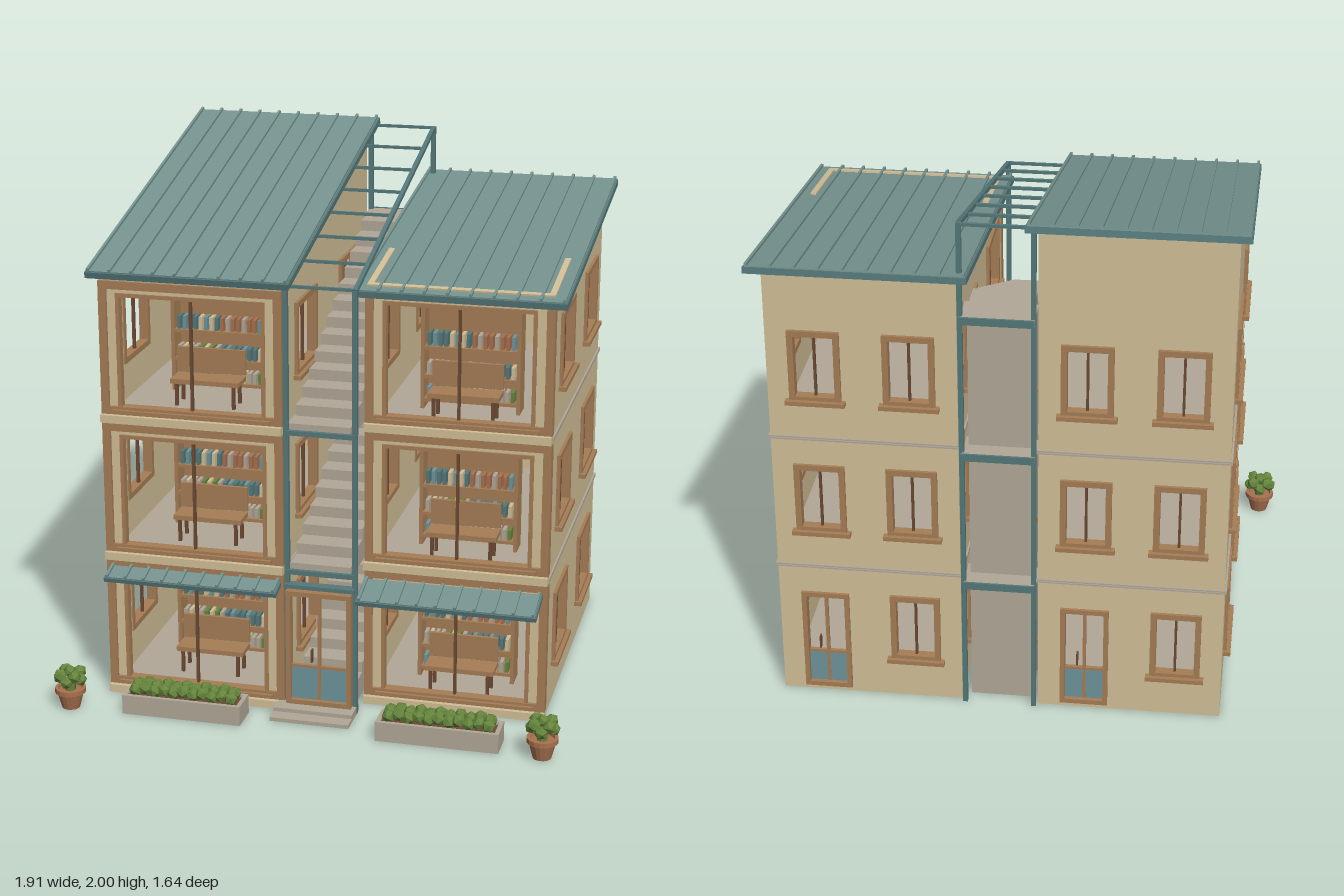
import * as THREE from 'three';

const mat = (name, color) => Object.assign(new THREE.MeshStandardMaterial({ color }), { name });
const M = {
  wall: mat('sand plaster', 0xd2bf98),
  wood: mat('warm wood', 0xa67d56),
  darkWood: mat('dark wood', 0x6b4a33),
  roof: mat('teal metal', 0x75938f),
  steel: mat('dark teal steel', 0x55787a),
  concrete: mat('concrete', 0xb3a899),
  panel: mat('blue panel', 0x6f959b),
  leaf: mat('leaf green', 0x66853d),
  clay: mat('terracotta', 0xa8714f),
};
const FLOORS = [0, 0.54, 1.08];
const BACK = -0.76, T = 0.02;

function add(parent, name, geo, material, x = 0, y = 0, z = 0) {
  const m = new THREE.Mesh(geo, material);
  m.name = name;
  m.position.set(x, y, z);
  parent.add(m);
  return m;
}
// box given by its centre
const box = (p, name, material, w, h, d, x, y, z) =>
  add(p, name, new THREE.BoxGeometry(w, h, d), material, x, y, z);
// box given by its limits
const span = (p, name, material, x0, x1, y0, y1, z0, z1) =>
  box(p, name, material, x1 - x0, y1 - y0, z1 - z0, (x0 + x1) / 2, (y0 + y1) / 2, (z0 + z1) / 2);

function group(parent, name, x = 0, y = 0, z = 0) {
  const g = new THREE.Group();
  g.name = name;
  g.position.set(x, y, z);
  parent.add(g);
  return g;
}

// flat wall with rectangular openings [x0, x1, y0, y1]
function wallGeometry(points, holes) {
  const s = new THREE.Shape(points.map(p => new THREE.Vector2(...p)));
  for (const [a, b, c, d] of holes) {
    s.holes.push(new THREE.Path([[a, c], [a, d], [b, d], [b, c]].map(p => new THREE.Vector2(...p))));
  }
  return new THREE.ExtrudeGeometry(s, { depth: T, bevelEnabled: false });
}

// rectangular border of four bars, lying in the local xy plane
function border(p, name, material, x0, x1, y0, y1, t, z0, z1) {
  span(p, name, material, x0, x0 + t, y0, y1, z0, z1);
  span(p, name, material, x1 - t, x1, y0, y1, z0, z1);
  span(p, name, material, x0 + t, x1 - t, y0, y0 + t, z0, z1);
  span(p, name, material, x0 + t, x1 - t, y1 - t, y1, z0, z1);
}

// window facing local +z, origin at the bottom centre of the opening
function makeWindow(parent, w, h, x, y, z, turn) {
  const g = group(parent, 'window', x, y, z);
  g.rotation.y = turn;
  border(g, 'windowFrame', M.wood, -w / 2 - 0.018, w / 2 + 0.018, -0.018, h + 0.018, 0.022, -0.025, 0.012);
  box(g, 'windowMullion', M.darkWood, 0.009, h, 0.012, 0, h / 2, -0.01);
  box(g, 'windowSill', M.wood, w + 0.065, 0.016, 0.04, 0, -0.018, 0.008);
}

// glazed door with a painted lower panel, facing local +z
function makeDoor(parent, w, h, x, y, z, turn) {
  const g = group(parent, 'door', x, y, z);
  g.rotation.y = turn;
  border(g, 'doorFrame', M.wood, -w / 2 - 0.014, w / 2 + 0.014, 0, h + 0.012, 0.018, -0.025, 0.012);
  box(g, 'doorPanel', M.panel, w, 0.13, 0.01, 0, 0.08, -0.01);
  box(g, 'doorStile', M.wood, 0.012, h, 0.014, 0, h / 2, -0.01);
  box(g, 'doorRail', M.wood, w, 0.01, 0.014, 0, 0.15, -0.01);
  box(g, 'doorHandle', M.darkWood, 0.006, 0.05, 0.02, -0.025, 0.2, 0.004);
}

// sloping seamed metal sheet, lower at the front
function metalRoof(parent, name, x0, x1, z0, z1, yBack, yFront, seams, t) {
  const dz = z1 - z0, dy = yBack - yFront, L = Math.hypot(dz, dy), w = x1 - x0;
  const g = group(parent, name, (x0 + x1) / 2, (yBack + yFront) / 2, (z0 + z1) / 2);
  g.rotation.x = Math.atan2(dy, dz);
  box(g, 'roofSheet', M.roof, w - 0.01, t, L - 0.01, 0, 0, 0);
  for (let i = 0; i <= seams; i++) {
    box(g, 'roofSeam', M.roof, 0.01, 0.014, L - 0.006, -w / 2 + 0.012 + (w - 0.024) * i / seams, t / 2 + 0.003, 0);
  }
  for (const s of [-1, 1]) {
    box(g, 'roofFascia', M.steel, w, t * 0.9, 0.012, 0, -0.003, s * (L / 2 - 0.006));
    box(g, 'roofVerge', M.steel, 0.012, t * 0.9, L, s * (w / 2 - 0.006), -0.003, 0);
  }
  return g;
}

// bookcase and bench of one room
function furnish(parent, cx, b, zf) {
  const g = group(parent, 'furniture', cx, b, 0);
  span(g, 'bookcaseBack', M.wood, -0.18, 0.18, 0.03, 0.43, 0.13, 0.14);
  for (const s of [-1, 1]) box(g, 'bookcaseSide', M.wood, 0.014, 0.41, 0.09, s * 0.18, 0.225, 0.175);
  const bookMats = [M.panel, M.wall, M.leaf, M.clay, M.steel, M.concrete];
  [0.06, 0.15, 0.26, 0.425].forEach((y, r) => {
    box(g, 'shelf', M.wood, 0.36, 0.012, 0.09, 0, y, 0.175);
    if (r === 3) return;
    for (let i = 0; i < 16; i++) {
      const k = (i * 7 + r * 5 + (i * i) % 11) % 6, h = 0.04 + 0.005 * ((i * 5 + r) % 5);
      box(g, 'book', bookMats[k], 0.013, h, 0.05, -0.158 + i * 0.021, y + 0.006 + h / 2, 0.185);
    }
  });
  const z = Math.min(zf - 0.13, 0.36);
  box(g, 'benchBack', M.wood, 0.265, 0.095, 0.014, 0, 0.18, z - 0.05);
  box(g, 'benchSeat', M.wood, 0.265, 0.018, 0.1, 0, 0.12, z);
  for (const x of [-0.11, 0.11]) for (const d of [-0.04, 0.04]) {
    box(g, 'benchLeg', M.darkWood, 0.012, 0.1, 0.012, x, 0.065, z + d);
  }
}

// one three-storey block between x0 and x1, with its front at zf
function makeBlock(root, name, x0, x1, zf, roof) {
  const g = group(root, name), cx = (x0 + x1) / 2;
  const [rx0, rx1, rz, yb, yf, seams] = roof;
  const slope = (yb - yf) / (rz + 0.82);
  const top = z => yf + slope * (rz - z) - 0.008;

  // side walls with two windows on each storey
  const mid = (zf + BACK) / 2, q = (zf - BACK) / 4, hw = 0.13;
  const holes = FLOORS.flatMap(b => [mid - q, mid + q].map(z => [z - hw, z + hw, b + 0.18, b + 0.425]));
  const sideGeo = wallGeometry([[BACK, 0], [zf, 0], [zf, top(zf)], [BACK, top(BACK)]], holes);
  sideGeo.rotateY(-Math.PI / 2);
  add(g, 'sideWall', sideGeo, M.wall, x0 + T);
  add(g, 'sideWall', sideGeo, M.wall, x1);
  for (const b of FLOORS) for (const z of [mid - q, mid + q]) {
    makeWindow(g, 2 * hw, 0.245, x1, b + 0.18, z, Math.PI / 2);
    makeWindow(g, 2 * hw, 0.245, x0, b + 0.18, z, -Math.PI / 2);
  }

  // back wall: windows above, a door and a window on the ground floor
  const backHoles = FLOORS.flatMap(b => [-0.168, 0.168].map(d =>
    b === 0 && d > 0 ? [cx + d - 0.075, cx + d + 0.075, 0.02, 0.425]
      : [cx + d - 0.075, cx + d + 0.075, b + 0.18, b + 0.425]));
  add(g, 'backWall', wallGeometry([[x0 + T, 0], [x1 - T, 0], [x1 - T, top(BACK)], [x0 + T, top(BACK)]], backHoles), M.wall, 0, 0, BACK);
  for (const [a, c, y0, y1] of backHoles) {
    (y0 < 0.1 ? makeDoor : makeWindow)(g, c - a, y1 - y0, (a + c) / 2, y0, BACK, Math.PI);
  }

  // open front with timber framing
  const frontHoles = FLOORS.map(b => [x0 + 0.065, x1 - 0.065, b + 0.045, b + 0.485]);
  add(g, 'frontWall', wallGeometry([[x0 + T, 0], [x1 - T, 0], [x1 - T, top(zf)], [x0 + T, top(zf)]], frontHoles), M.wall, 0, 0, zf - T);
  for (const b of FLOORS) {
    border(g, 'storeyFrame', M.wood, x0 - 0.004, x1 + 0.004, b + 0.03, b + 0.535, 0.03, zf - 0.03, zf + 0.012);
    border(g, 'openingFrame', M.wood, x0 + 0.06, x1 - 0.06, b + 0.04, b + 0.49, 0.014, zf - 0.025, zf + 0.008);
    box(g, 'frontMullion', M.darkWood, 0.01, 0.44, 0.014, cx, b + 0.265, zf - 0.01);
    span(g, 'frontSill', M.wood, x0 + 0.04, x1 - 0.04, b + 0.036, b + 0.05, zf, zf + 0.025);
    span(g, 'floorLedge', M.wall, x0 - 0.004, x1 + 0.004, b, b + 0.03, zf - 0.02, zf + 0.03);
    span(g, 'floorSlab', M.concrete, x0 + 0.01, x1 - 0.01, b, b + 0.025, BACK + 0.01, zf - 0.01);
    if (b) border(g, 'floorBand', M.concrete, x0 - 0.007, x1 + 0.007, b + 0.004, b + 0.018, 0.006, BACK - 0.007, BACK);
    if (b) for (const x of [x0 - 0.0035, x1 + 0.0035]) box(g, 'floorBand', M.concrete, 0.007, 0.014, zf - BACK, x, b + 0.011, (zf + BACK) / 2);
    furnish(g, cx, b, zf);
  }
  metalRoof(g, 'mainRoof', rx0, rx1, -0.82, rz, yb, yf, seams, 0.026);

  // entrance canopy
  metalRoof(g, 'canopy', x0 + 0.01, x1 - 0.005, 0.51, 0.655, 0.52, 0.485, 9, 0.018);
  for (const x of [x0 + 0.05, x1 - 0.05]) span(g, 'canopyBracket', M.steel, x - 0.006, x + 0.006, 0.475, 0.49, zf, 0.63);
  return top;
}

// stepped concrete flight climbing towards the back
function stairGeometry(width) {
  const n = 13, rise = 0.54 / n, run = 0.093, z0 = 0.56, pts = [[z0, 0]];
  for (let i = 0; i < n; i++) {
    pts.push([z0 - i * run, (i + 1) * rise]);
    pts.push([i === n - 1 ? -0.72 : z0 - (i + 1) * run, (i + 1) * rise]);
  }
  pts.push([-0.72, 0]);
  const s = new THREE.Shape(pts.map(p => new THREE.Vector2(...p)));
  return new THREE.ExtrudeGeometry(s, { depth: width, bevelEnabled: false }).rotateY(-Math.PI / 2);
}

function makeStairwell(root) {
  const g = group(root, 'stairwell'), xa = -0.105, xb = 0.152;
  const flight = stairGeometry(0.23);
  for (const b of FLOORS) {
    add(g, 'stairFlight', flight, M.concrete, 0.135, b, 0);
    span(g, 'landing', M.concrete, -0.11, 0.15, b + 0.515, b + 0.54, -0.79, -0.66);
    span(g, 'landingEdge', M.steel, -0.11, 0.155, b + 0.515, b + 0.543, -0.798, -0.79);
    if (b) span(g, 'frontEdge', M.steel, -0.11, 0.155, b, b + 0.018, 0.55, 0.575);
  }
  makeDoor(g, 0.22, 0.44, 0.02, 0.03, 0.585, 0);
  span(g, 'doorLintel', M.steel, -0.11, 0.155, 0.49, 0.505, 0.55, 0.59);
  // posts, sloping rails and rungs above the stairs
  for (const x of [xa, xb]) {
    span(g, 'frontPost', M.steel, x - 0.009, x + 0.009, 0, 1.63, 0.55, 0.57);
    span(g, 'backPost', M.steel, x - 0.009, x + 0.009, 0, 1.97, -0.78, -0.762);
    const rail = box(g, 'slopingRail', M.steel, 0.016, 0.016, 1.375, x, 1.797, -0.105);
    rail.rotation.x = Math.atan2(0.335, 1.33);
  }
  for (let i = 0; i < 8; i++) {
    box(g, 'rung', M.steel, xb - xa, 0.011, 0.011, (xa + xb) / 2, 1.632 + i * 0.0475, 0.555 - i * 0.19);
  }
  // entrance steps
  span(g, 'entranceStep', M.concrete, -0.14, 0.16, 0, 0.03, 0.53, 0.645);
  span(g, 'entranceStep', M.concrete, -0.14, 0.16, 0, 0.015, 0.645, 0.7);
}

function makePlanting(root) {
  const leafGeo = new THREE.IcosahedronGeometry(0.026, 0);
  // long planters
  for (const cx of [-0.463, 0.505]) {
    const g = group(root, 'planter', cx, 0, 0.71);
    border(g, 'planterWall', M.concrete, -0.228, 0.228, -0.06, 0.06, 0.016, -0.0375, 0.0375);
    g.children.forEach(m => { m.rotation.x = Math.PI / 2; m.position.set(m.position.x, 0.0375, m.position.y); });
    box(g, 'soil', M.darkWood, 0.43, 0.01, 0.095, 0, 0.06, 0);
    for (let i = 0; i < 11; i++) for (const r of [-1, 0, 1]) {
      const m = add(g, 'shrub', leafGeo, M.leaf, -0.185 + i * 0.037, 0.09 + 0.008 * ((i + r + 1) % 2), r * 0.026);
      m.rotation.set(i, r, i * 2);
    }
  }
  // clay pots
  const potGeo = new THREE.LatheGeometry([[0, 0], [0.034, 0], [0.05, 0.062], [0.058, 0.062], [0.058, 0.08], [0.046, 0.08], [0.044, 0.07], [0, 0.07]]
    .map(p => new THREE.Vector2(...p)), 16).toNonIndexed();
  potGeo.computeVertexNormals();
  for (const x of [-0.9, 0.89]) {
    const g = group(root, 'pottedPlant', x, 0, 0.755);
    add(g, 'pot', potGeo, M.clay);
    for (let i = 0; i < 9; i++) {
      const a = i * Math.PI / 4, r = i < 8 ? 0.04 : 0;
      const m = add(g, 'foliage', leafGeo, M.leaf, r * Math.cos(a), i < 8 ? 0.115 + 0.02 * (i % 2) : 0.143, r * Math.sin(a));
      m.rotation.set(i, i * 2, 0);
    }
    add(g, 'stem', new THREE.CylinderGeometry(0.02, 0.02, 0.05, 6), M.leaf, 0, 0.09, 0);
  }
}

export function createModel() {
  const root = new THREE.Group();
  root.name = 'terracedBuilding';
  makeBlock(root, 'leftHandBlock', -0.8, -0.12, 0.565, [-0.84, -0.08, 0.61, 1.979, 1.643, 9]);
  const top = makeBlock(root, 'rightHandBlock', 0.165, 0.845, 0.44, [0.12, 0.895, 0.48, 1.775, 1.6, 9]);
  // low plaster strips showing along the front of the lower roof
  const tilt = Math.atan2(0.175, 1.3);
  for (const x of [0.176, 0.834]) {
    box(root, 'roofStrip', M.wall, 0.022, 0.012, 0.36, x, top(0.255) + 0.022, 0.255).rotation.x = tilt;
  }
  box(root, 'roofStrip', M.wall, 0.66, 0.012, 0.022, 0.505, top(0.425) + 0.022, 0.425).rotation.x = tilt;
  makeStairwell(root);
  makePlanting(root);
  return root;
}
